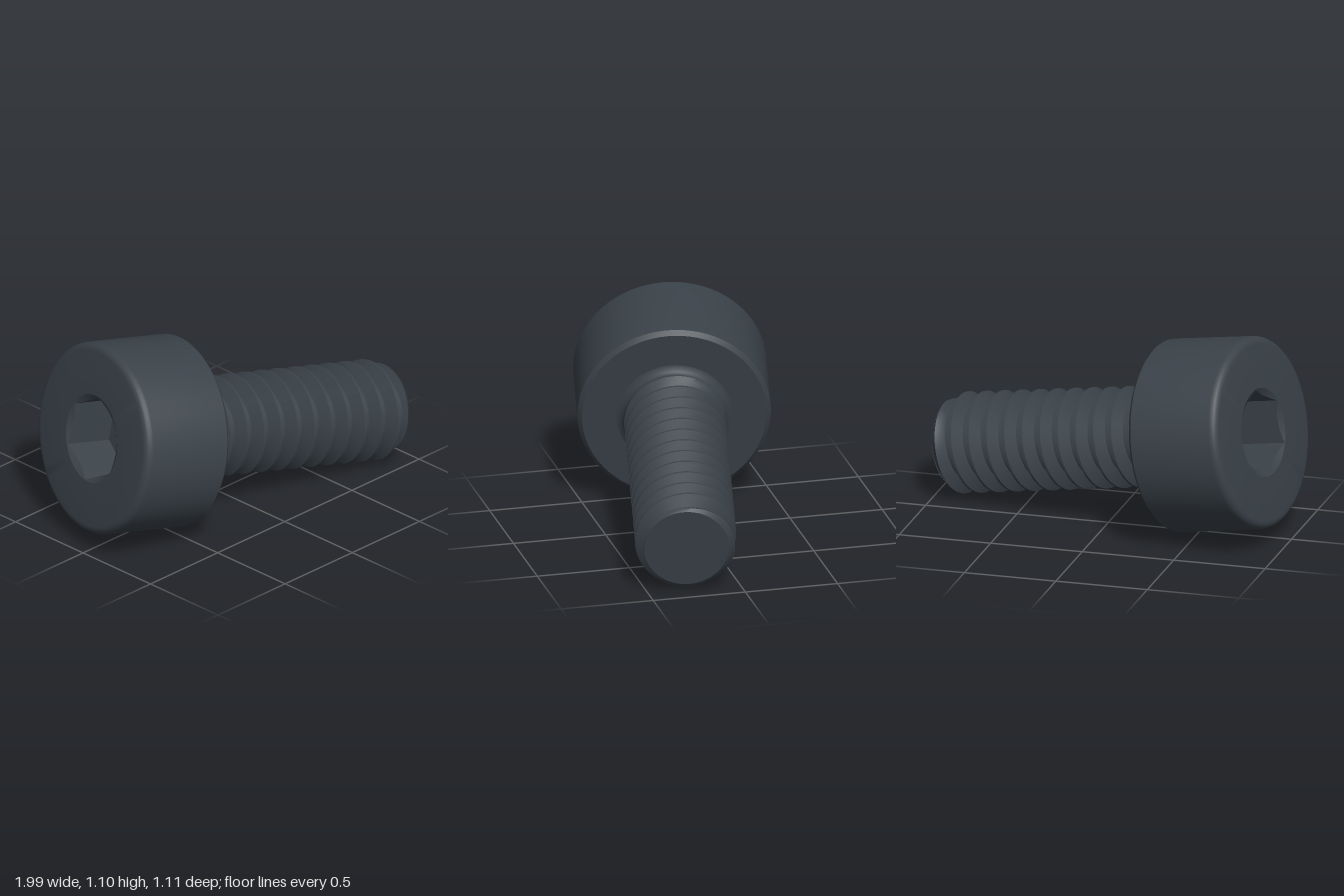
import * as THREE from 'three';
import { toCreasedNormals } from 'three/addons/utils/BufferGeometryUtils.js';

const SEG = 72;
const HEAD_R = 0.509, HEAD_H = 0.536, SOCKET_R = 0.235, SOCKET_FLAT = 0.201, SOCKET_FLOOR = -0.268;
const THREAD_R = 0.268, ROOT_R = 0.203, PITCH = 0.1075, LENGTH = 1.34, FIRST_CREST = -0.064;

// Skin around the local y axis: at(row, angle) gives [radius, height]
function surface(rows, at, crease) {
  const pos = [], index = [];
  for (let i = 0; i < rows; i++) {
    for (let j = 0; j <= SEG; j++) {
      const a = (j / SEG) * Math.PI * 2;
      const [r, s] = at(i, a);
      pos.push(r * Math.cos(a), s, r * Math.sin(a));
      if (i < rows - 1 && j < SEG) {
        const p = i * (SEG + 1) + j, q = p + SEG + 1;
        index.push(p, q, p + 1, q, q + 1, p + 1);
      }
    }
  }
  const g = new THREE.BufferGeometry();
  g.setAttribute('position', new THREE.Float32BufferAttribute(pos, 3));
  g.setIndex(index);
  return toCreasedNormals(g, crease);
}

const turned = (profile, crease = 0.5) => surface(profile.length, (i) => profile[i], crease);

// Radius of the hexagon at an angle, with a corner at angle 0
function hexRadius(a) {
  const third = Math.PI / 3;
  return SOCKET_FLAT / Math.cos((((a + 1e-6) % third) - third / 2));
}

// Threaded shank: rows follow the helix, clipped by the neck and the tip chamfer
function shankGeometry() {
  const steps = [-0.06, 0.06, 0.23, 0.39, 0.5, 0.61, 0.77];
  const turns = 15;
  return surface(turns * steps.length + 1, (i, a) => {
    if (i === turns * steps.length) return [0, LENGTH];
    const u = steps[i % steps.length];
    const raw = FIRST_CREST + PITCH * (Math.floor(i / steps.length) + u - a / (Math.PI * 2));
    const s = THREE.MathUtils.clamp(raw, 0, LENGTH);
    const slope = THREE.MathUtils.clamp((0.5 - Math.abs(u - 0.5) - 0.06) / 0.33, 0, 1);
    const thread = THREE.MathUtils.lerp(THREAD_R, ROOT_R, slope);
    const neck = THREAD_R - Math.max(0, s - 0.05) * 1.3;
    return [Math.min(Math.max(thread, neck), 0.222 + (LENGTH - s) * 0.9), s];
  }, 0.7);
}

export function createModel() {
  const steel = new THREE.MeshStandardMaterial({ color: 0x3a4249 });
  steel.name = 'blackSteel';

  const bolt = new THREE.Group();
  bolt.name = 'socketHeadBolt';
  const add = (name, geometry) => {
    const m = new THREE.Mesh(geometry, steel);
    m.name = name;
    bolt.add(m);
  };

  // Head with rounded top rim and a small chamfer underneath
  const head = [[SOCKET_R, -HEAD_H]];
  const round = 0.042;
  for (let i = 0; i <= 5; i++) {
    const t = (i / 5) * Math.PI / 2;
    head.push([HEAD_R - round + round * Math.sin(t), -HEAD_H + round - round * Math.cos(t)]);
  }
  head.push([HEAD_R, -0.022], [0.486, 0], [0.25, 0]);
  add('head', turned(head));

  // Hexagonal socket: floor, walls and conical lead-in
  add('hexSocket', surface(4, (i, a) => {
    const h = hexRadius(a);
    if (i === 0) return [0, SOCKET_FLOOR];
    if (i === 1) return [h, SOCKET_FLOOR];
    if (i === 2) return [h, -HEAD_H + (SOCKET_R - h) * 0.58];
    return [SOCKET_R, -HEAD_H];
  }, 0.5));

  // Fillet between head and shank
  add('neckFillet', turned([[0.305, 0], [0.286, 0.006], [0.275, 0.016], [0.267, 0.034]], 1));
  add('threadedShank', shankGeometry());

  // Lay the bolt along its tilted axis, a socket corner pointing up
  const axis = new THREE.Vector3(0.962, -0.186, 0.199).normalize();
  const up = new THREE.Vector3(0, 1, 0).addScaledVector(axis, -axis.y).normalize();
  const side = new THREE.Vector3().crossVectors(up, axis);
  bolt.quaternion.setFromRotationMatrix(new THREE.Matrix4().makeBasis(up, axis, side));
  bolt.position.set(-0.35, 0.495, 0.037);

  const model = new THREE.Group();
  model.name = 'bolt';
  model.add(bolt);
  return model;
}
